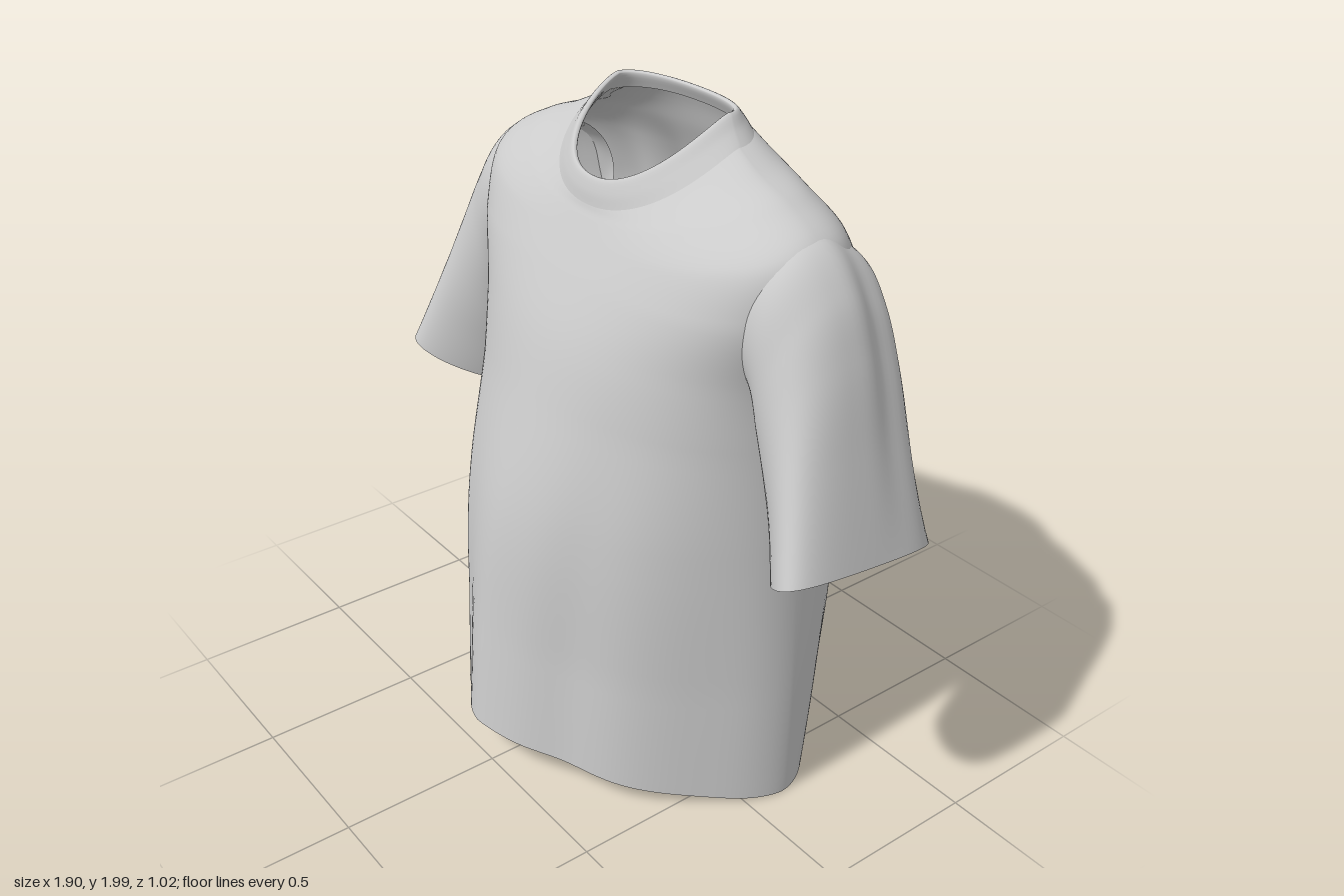
import * as THREE from 'three';

const material = new THREE.MeshStandardMaterial({ color: 0xcccccc, roughness: 0.9, side: THREE.DoubleSide });
const { lerp, smoothstep } = THREE.MathUtils;
const gauss = (x, w) => Math.exp(-(x * x) / (w * w));

// Skin of closed loops: point(angle, t) gives [x, y, z], t runs 0..1 along the part
function loft(name, point, around, along) {
  const pos = [], index = [];
  for (let j = 0; j <= along; j++) {
    for (let i = 0; i < around; i++) {
      pos.push(...point((i / around) * Math.PI * 2, j / along));
      if (j === along) continue;
      const a = j * around + i, b = j * around + ((i + 1) % around);
      index.push(a, b, b + around, a, b + around, a + around);
    }
  }
  const geo = new THREE.BufferGeometry();
  geo.setAttribute('position', new THREE.Float32BufferAttribute(pos, 3));
  geo.setIndex(index);
  geo.computeVertexNormals();
  const mesh = new THREE.Mesh(geo, material);
  mesh.name = name;
  return mesh;
}

const rail = (keys, pick) => new THREE.CatmullRomCurve3(keys.map((k) => new THREE.Vector3(...pick(k))));

// Torso loops: [front y, z], [back y, z], [side x, y, z], roundness front, back
const torsoKeys = [
  [[0.12, 0.51], [0.05, -0.465], [0.65, 0.0, -0.12], 1.52, 1.85],
  [[0.45, 0.475], [0.4, -0.455], [0.645, 0.38, -0.13], 1.56, 2.3],
  [[0.85, 0.425], [0.82, -0.45], [0.63, 0.8, -0.13], 1.7, 2.9],
  [[1.2, 0.33], [1.2, -0.455], [0.615, 1.15, -0.13], 1.9, 3.3],
  [[1.4, 0.27], [1.4, -0.46], [0.615, 1.36, -0.13], 2.15, 3.4],
  [[1.55, 0.205], [1.57, -0.445], [0.66, 1.57, -0.13], 2.4, 3],
  [[1.65, 0.155], [1.72, -0.4], [0.65, 1.745, -0.13], 2.4, 2.6],
  [[1.7, 0.13], [1.83, -0.35], [0.52, 1.828, -0.14], 2.2, 2.4],
  [[1.72, 0.12], [1.9, -0.322], [0.4, 1.873, -0.14], 2.2, 2.3],
  [[1.735, 0.115], [1.945, -0.3], [0.305, 1.918, -0.15], 2.2, 2.3],
];

// Collar loops: seam, rim, then folded back inside
const collarKeys = [
  [[1.735, 0.117], [1.944, -0.302], [0.307, 1.918, -0.15], 2.2, 2.3],
  [[1.775, 0.111], [1.972, -0.287], [0.272, 1.955, -0.16], 2.2, 2.3],
  [[1.81, 0.097], [1.99, -0.262], [0.242, 1.992, -0.17], 2.2, 2.3],
  [[1.805, 0.087], [1.985, -0.252], [0.232, 1.985, -0.17], 2.2, 2.3],
  [[1.76, 0.098], [1.945, -0.27], [0.262, 1.935, -0.16], 2.2, 2.3],
];

function torsoPoint(keys) {
  const front = rail(keys, (k) => [0, ...k[0]]);
  const back = rail(keys, (k) => [0, ...k[1]]);
  const side = rail(keys, (k) => k[2]);
  return (angle, t) => {
    const S = side.getPoint(t), sn = Math.sin(angle), cs = Math.cos(angle);
    const E = (cs > 0 ? front : back).getPoint(t);
    const f = Math.min(t * (keys.length - 1), keys.length - 1.001), k = Math.floor(f);
    const col = cs > 0 ? 3 : 4;
    // The right front hangs a little flatter than the left
    const slack = cs > 0 && sn < 0 ? 0.12 * (1 - smoothstep(S.y, 0, 1)) : 0;
    const n = lerp(keys[k][col], keys[k + 1][col], f - k) - slack;
    const r = (Math.abs(sn) ** n + Math.abs(cs) ** n) ** (-1 / n);
    const c = Math.abs(cs * r);
    // The hem stays low round the back corners, the neckline scoops at the front
    const dip = cs > 0 ? 1.6 - 0.35 * smoothstep(S.y, 1.8, 1.92) : 1.6 + 3 * (1 - smoothstep(S.y, 0, 1.2));
    let x = S.x * sn * r;
    const y = lerp(S.y, E.y, c ** dip);
    let z = lerp(S.z, E.z, c);
    // Hanging folds, fading out towards the shoulders
    const hang = 1 - smoothstep(y, 1.4, 1.85), low = 1 - smoothstep(y, 0.3, 1.4);
    if (cs < 0) {
      const ax = Math.abs(x), outer = 0.035 * smoothstep(y, 0, 0.6);
      z -= hang * smoothstep(c, 0.3, 0.8) * (0.055 * gauss(ax - 0.265, 0.065) + outer * gauss(ax - 0.5, 0.06) - 0.015 * gauss(ax - 0.38, 0.05));
    } else {
      z += low * 0.014 * Math.sin(x * 17 + 0.6) * smoothstep(c, 0.1, 0.5) * (1 - smoothstep(c, 0.8, 1));
      x -= 0.06 * low * c * c;
    }
    return [x, y, z];
  };
}

// Sleeve loops from shoulder to cuff: outer, inner, front, back points
const sleeveKeys = [
  [[0.5, 1.79, -0.14], [0.5, 1.4, -0.13], [0.5, 1.58, 0.05], [0.5, 1.58, -0.35]],
  [[0.64, 1.763, -0.14], [0.57, 1.29, -0.13], [0.61, 1.52, 0.06], [0.61, 1.51, -0.36]],
  [[0.738, 1.655, -0.14], [0.595, 1.17, -0.13], [0.67, 1.41, 0.067], [0.67, 1.41, -0.35]],
  [[0.802, 1.5, -0.14], [0.61, 1.05, -0.14], [0.735, 1.29, 0.085], [0.73, 1.27, -0.345]],
  [[0.87, 1.26, -0.12], [0.635, 0.95, -0.15], [0.805, 1.15, 0.12], [0.8, 1.1, -0.35]],
  [[0.95, 0.985, -0.1], [0.67, 0.845, -0.15], [0.88, 0.985, 0.17], [0.87, 0.92, -0.37]],
];

function sleevePoint(side) {
  const rails = [0, 1, 2, 3].map((i) => rail(sleeveKeys, (k) => k[i]));
  return (angle, t) => {
    const [O, I, F, B] = rails.map((c) => c.getPoint(t));
    const c = Math.cos(angle), s = Math.sin(angle) * side;
    // Creases gathered at the back and the underarm
    const crease = 1 + 0.06 * Math.sin(Math.PI * t) * Math.cos(7 * Math.atan2(s, c)) * smoothstep(-s, -0.2, 0.6);
    const p = ['x', 'y', 'z'].map((a) =>
      (c * c * (O[a] + I[a]) + s * s * (F[a] + B[a]) + crease * (c * (O[a] - I[a]) + s * (F[a] - B[a]))) / 2);
    return [p[0] * side, p[1], p[2]];
  };
}

export function createModel() {
  const shirt = new THREE.Group();
  shirt.name = 'shirt';
  shirt.add(loft('torso', torsoPoint(torsoKeys), 160, 72));
  shirt.add(loft('collar', torsoPoint(collarKeys), 96, 20));
  shirt.add(loft('leftSleeve', sleevePoint(1), 72, 40));
  shirt.add(loft('rightSleeve', sleevePoint(-1), 72, 40));
  return shirt;
}
